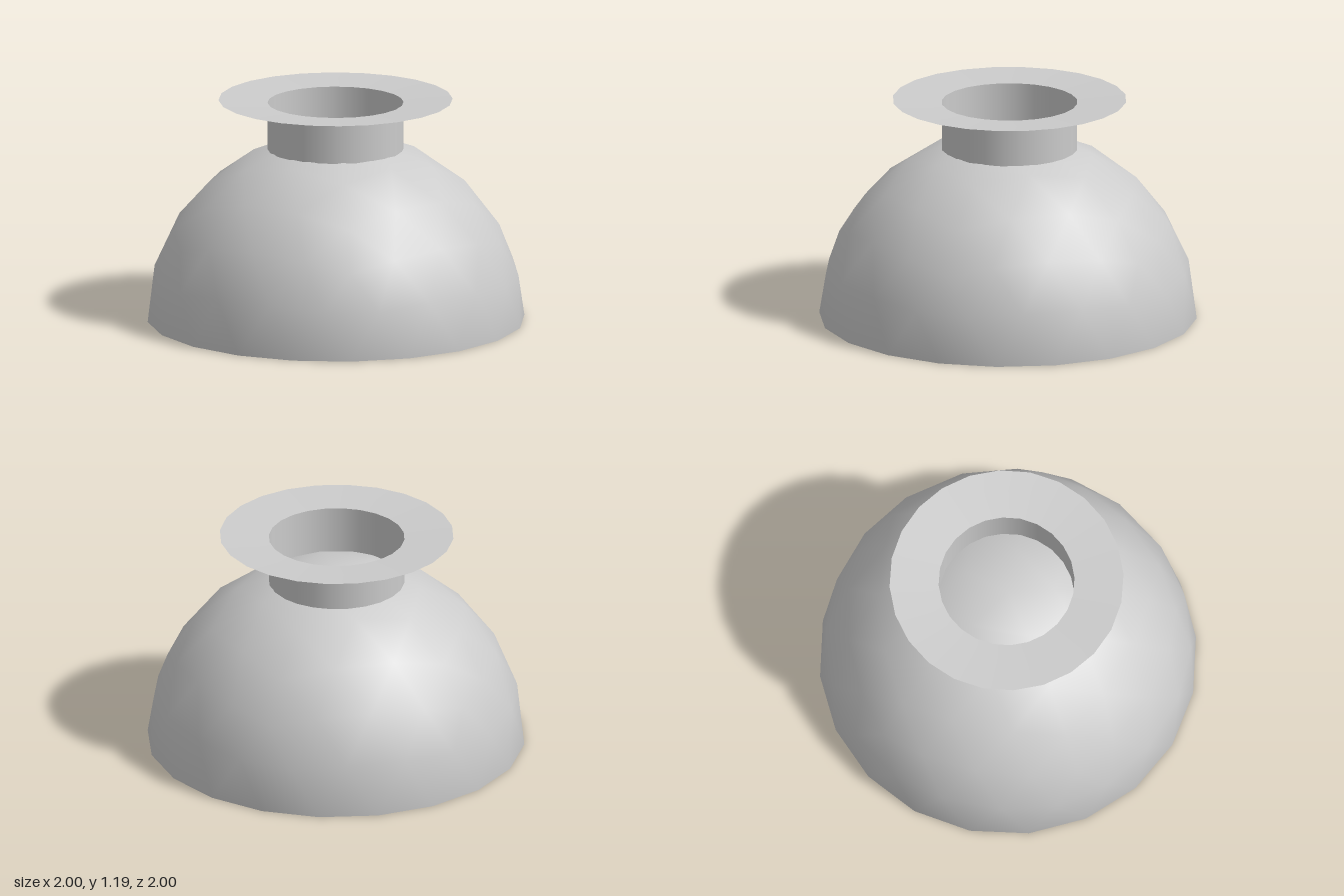
import * as THREE from 'three';

const material = new THREE.MeshStandardMaterial({ color: 0xcccccc, side: THREE.DoubleSide });

function addPart(group, name, geometry) {
  const mesh = new THREE.Mesh(geometry, material);
  mesh.name = name;
  group.add(mesh);
  return mesh;
}

// Upper half of a smooth-shaded icosphere with one vertex straight up
function domeGeometry(radius) {
  const ball = new THREE.IcosahedronGeometry(radius, 3);
  ball.rotateZ(-Math.atan(2 / (1 + Math.sqrt(5))));
  const pos = ball.getAttribute('position');
  const points = [], normals = [];
  for (let i = 0; i < pos.count; i += 3) {
    if (pos.getY(i) + pos.getY(i + 1) + pos.getY(i + 2) < 0) continue;
    for (let k = i; k < i + 3; k++) {
      const p = new THREE.Vector3().fromBufferAttribute(pos, k);
      points.push(p.x, p.y, p.z);
      p.normalize();
      normals.push(p.x, p.y, p.z);
    }
  }
  const geometry = new THREE.BufferGeometry();
  geometry.setAttribute('position', new THREE.Float32BufferAttribute(points, 3));
  geometry.setAttribute('normal', new THREE.Float32BufferAttribute(normals, 3));
  return geometry;
}

// Thin turned sheet from [radius, height] pairs
function turned(profile) {
  return new THREE.LatheGeometry(profile.map(([r, y]) => new THREE.Vector2(r, y)), 24);
}

export function createModel() {
  const group = new THREE.Group();
  group.name = 'domeWithFlangedNeck';

  // Hollow dome, open underneath
  addPart(group, 'dome', domeGeometry(1));

  // Open neck and its slightly flared rim, a touch off centre
  const collar = new THREE.Group();
  collar.name = 'collar';
  collar.position.set(-0.004, 0, -0.007);
  addPart(collar, 'neck', turned([[0.36, 0.92], [0.36, 1.172]]));
  addPart(collar, 'rim', turned([[0.62, 1.188], [0.36, 1.172]]));
  group.add(collar);

  return group;
}
